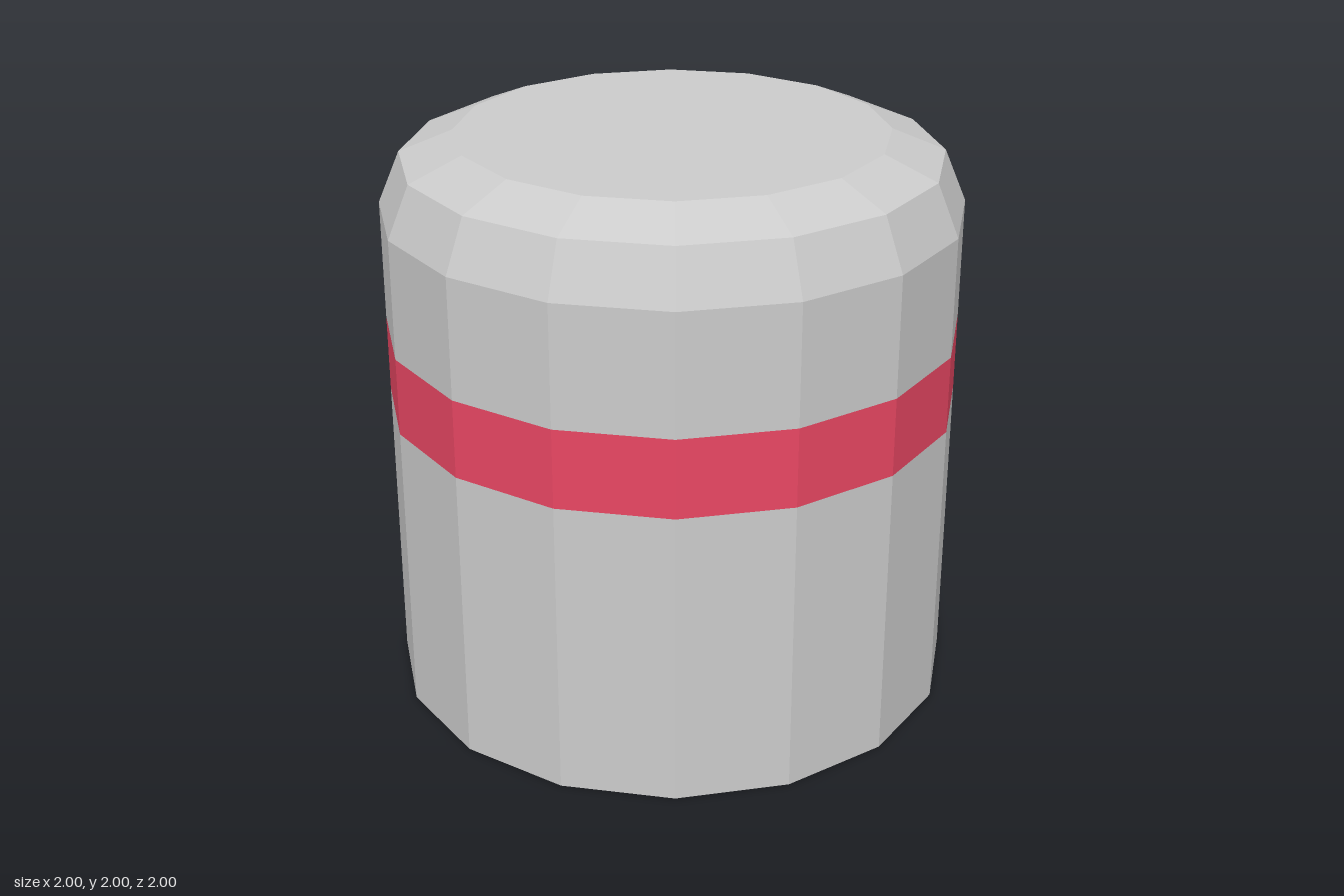
import * as THREE from 'three';

const SIDES = 16;

// Faceted ring or cap turned from a [radius, height] profile, listed bottom to top
function turned(name, profile, color) {
  const points = profile.map(([r, y]) => new THREE.Vector2(r, y));
  const mesh = new THREE.Mesh(
    new THREE.LatheGeometry(points, SIDES),
    new THREE.MeshStandardMaterial({ color, flatShading: true })
  );
  mesh.name = name;
  return mesh;
}

export function createModel() {
  const model = new THREE.Group();
  model.name = 'cylinder';

  // Closed base and lower wall
  model.add(turned('lowerBody', [[0, 0], [1, 0], [1, 1.05]], 0xcccccc));
  // Coloured stripe flush with the wall
  model.add(turned('band', [[1, 1.05], [1, 1.325]], 0xe94763));
  // Upper wall, two-step bevel and flat top
  model.add(turned('upperBody', [[1, 1.325], [1, 1.745], [0.924, 1.925], [0.74, 2], [0, 2]], 0xcccccc));

  return model;
}
